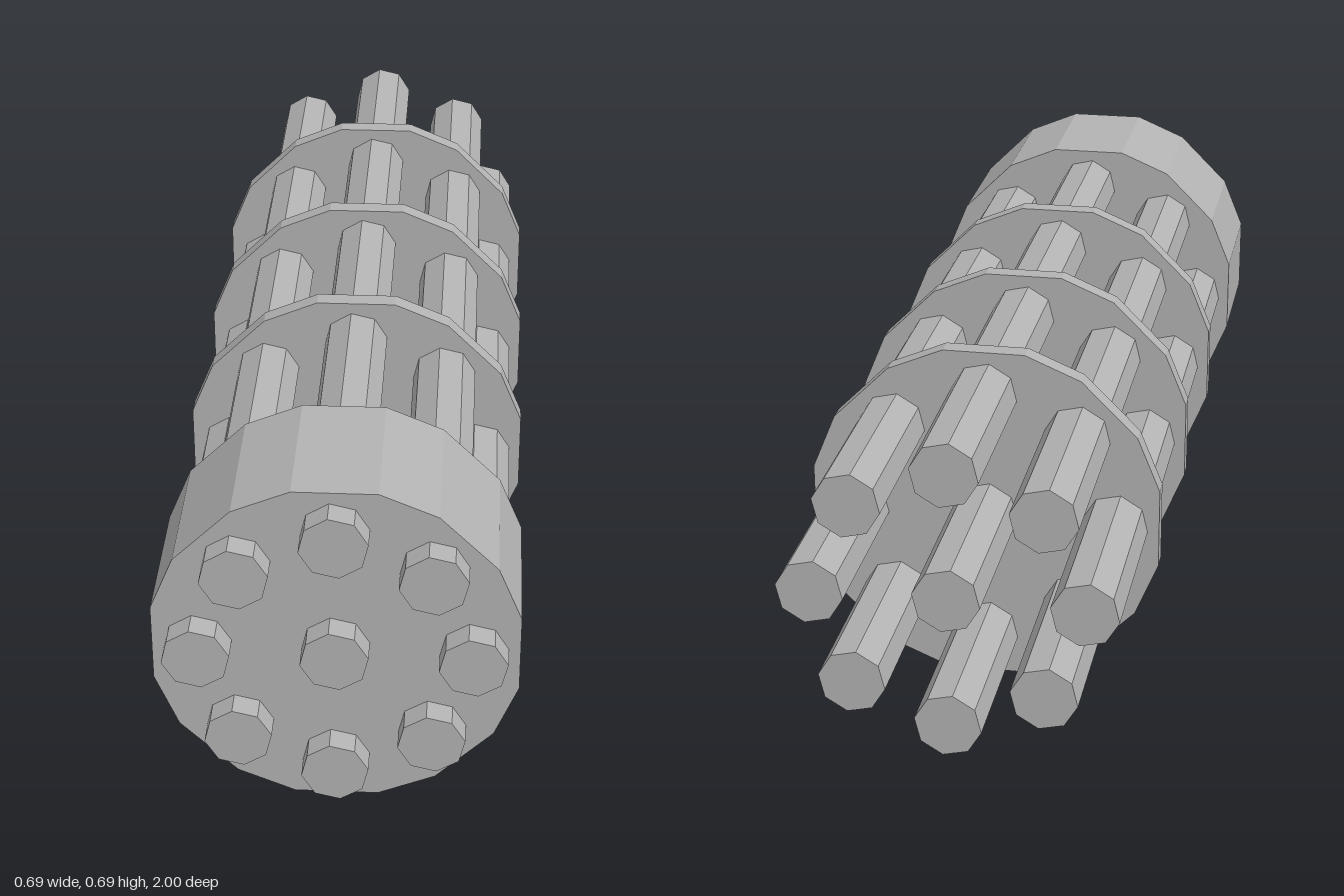
import * as THREE from 'three';

export function createModel() {
  const model = new THREE.Group();
  model.name = 'barrelCluster';
  const grey = new THREE.MeshStandardMaterial({ color: 0xb3b3b3, flatShading: true });
  grey.name = 'grey metal';
  const centreY = 0.3465;

  // Sixteen-sided outline, one quadrant repeated by quarter turns
  const quadrant = [[0.345, 0.08], [0.3, 0.19], [0.19, 0.3], [0.08, 0.3465]];
  const outline = [];
  for (const [sx, sy] of [[1, 1], [-1, 1], [-1, -1], [1, -1]]) {
    const points = sx * sy > 0 ? quadrant : [...quadrant].reverse();
    for (const [x, y] of points) outline.push(new THREE.Vector2(sx * x, sy * y));
  }
  const shape = new THREE.Shape(outline);

  function addDisc(name, z, depth) {
    const geometry = new THREE.ExtrudeGeometry(shape, { depth, bevelEnabled: false });
    const mesh = new THREE.Mesh(geometry, grey);
    mesh.name = name;
    mesh.position.set(0, centreY, z);
    model.add(mesh);
  }

  // Front drum and the three thin spacer plates
  addDisc('frontDrum', 0.65, 0.3);
  [0.23, -0.19, -0.61].forEach((z, i) => addDisc(`spacerPlate${i + 1}`, z - 0.019, 0.038));

  // Octagonal barrels, all turned by the same small angle
  const barrelGeometry = new THREE.CylinderGeometry(
    0.0648, 0.0648, 2, 8, 1, false, THREE.MathUtils.degToRad(9));
  barrelGeometry.rotateX(Math.PI / 2);

  function addBarrel(name, x, y) {
    const mesh = new THREE.Mesh(barrelGeometry, grey);
    mesh.name = name;
    mesh.position.set(x, y, 0);
    model.add(mesh);
  }

  // One barrel in the middle and a ring of eight
  addBarrel('centreBarrel', 0, 0.352);
  for (let i = 0; i < 8; i++) {
    const a = (i * Math.PI) / 4;
    addBarrel(`ringBarrel${i + 1}`, 0.2585 * Math.cos(a), 0.3475 + 0.2585 * Math.sin(a));
  }
  return model;
}
